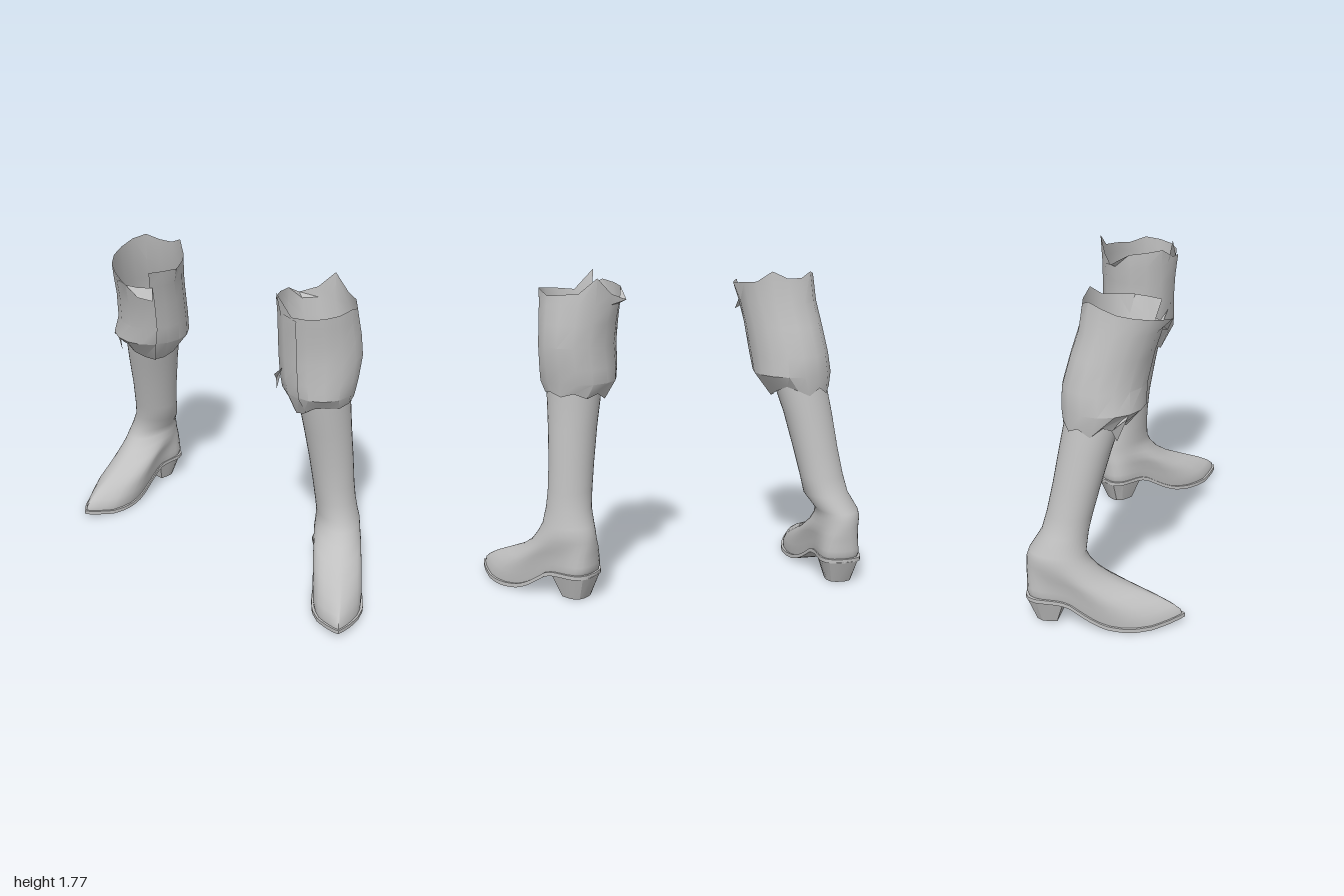
import * as THREE from 'three';
import { toCreasedNormals } from 'three/addons/utils/BufferGeometryUtils.js';

const RAD = Math.PI / 180;
const mix = (a, b, t) => a + (b - a) * t;
const leather = new THREE.MeshStandardMaterial({ color: 0xc0c0c0, side: THREE.DoubleSide });
leather.name = 'grey leather';

// Linear lookup of column c in a table sorted by column 0
function look(table, v, c = 1) {
  let i = 1;
  while (i < table.length - 1 && table[i][0] < v) i++;
  const a = table[i - 1], b = table[i];
  return mix(a[c], b[c], THREE.MathUtils.clamp((v - a[0]) / (b[0] - a[0]), 0, 1));
}

// Skin over cross-sections; closed rings are joined end to start
function loft(name, rings, { closed = true, caps = false, crease = 0.9 } = {}) {
  const n = rings[0].length, pos = rings.flat(2), idx = [];
  for (let i = 0; i < rings.length - 1; i++)
    for (let j = 0; j < (closed ? n : n - 1); j++) {
      const k = (j + 1) % n, a = i * n, b = a + n;
      idx.push(a + j, a + k, b + k, a + j, b + k, b + j);
    }
  if (caps) {
    const t = (rings.length - 1) * n;
    for (let j = 1; j < n - 1; j++) idx.push(0, j + 1, j, t, t + j, t + j + 1);
  }
  const g = new THREE.BufferGeometry();
  g.setAttribute('position', new THREE.Float32BufferAttribute(pos, 3));
  g.setIndex(idx);
  const mesh = new THREE.Mesh(toCreasedNormals(g, crease), leather);
  mesh.name = name;
  return mesh;
}

// Sole outline: z, inner x, outer x
const outline = [
  [0.145, 0.67, 0.67], [0.152, 0.61, 0.73], [0.175, 0.57, 0.77], [0.22, 0.55, 0.79], [0.35, 0.553, 0.79],
  [0.5, 0.53, 0.787], [0.65, 0.495, 0.785], [0.76, 0.485, 0.772], [0.85, 0.503, 0.728],
  [0.93, 0.543, 0.67], [0.98, 0.575, 0.622], [1.0, 0.597, 0.597]];
// Underside of the sole: z, y
const arch = [[0.14, 0.13], [0.36, 0.13], [0.41, 0.115], [0.48, 0.07], [0.55, 0.03], [0.61, 0.01],
  [0.7, 0], [0.85, 0.004], [1.0, 0.03]];
// Foot levels: height above sole, back z, front z, inner x, outer x, roundness
const footLevels = [
  [0, 0.158, 0.985, 0.497, 0.778, 0], [0.03, 0.15, 0.978, 0.493, 0.782, 0], [0.07, 0.15, 0.94, 0.495, 0.785, 0.1],
  [0.12, 0.15, 0.87, 0.502, 0.79, 0.25], [0.17, 0.15, 0.765, 0.51, 0.795, 0.45], [0.22, 0.148, 0.645, 0.525, 0.8, 0.7],
  [0.27, 0.15, 0.56, 0.543, 0.8, 0.9], [0.33, 0.152, 0.505, 0.553, 0.8, 1], [0.39, 0.165, 0.475, 0.553, 0.79, 1]];

function footPoint([h, zb, zf, x0, x1, round], a) {
  const u = (1 + Math.cos(a)) / 2, s = Math.sin(a);
  const edge = look(outline, mix(0.145, 1, u), s > 0 ? 2 : 1);
  const z = mix(zb, zf, u), floor = look(arch, z) + 0.02;
  const side = mix((edge - 0.485) / 0.305, 0.5 + 0.5 * s, round);
  return [mix(x0, x1, side), floor + h * (1 - floor / 0.45), z];
}

const ellipsePoint = ([y, x0, x1, z0, z1], a, r = 1) => [
  (x0 + x1) / 2 + (x1 - x0) / 2 * r * Math.sin(a), y,
  (z0 + z1) / 2 + (z1 - z0) / 2 * r * Math.cos(a)];

const D_SHAPE = [[-0.9, 1], [0.9, 1], [1, 0.3], [1, -0.3], [0.75, -0.8], [0.35, -1], [-0.35, -1], [-0.75, -0.8], [-1, -0.3], [-1, 0.3]];

function makeBoot(name, { mirrored, yaw, heel, shaft, cuff, flap }) {
  const boot = new THREE.Group();
  boot.name = name;
  const c = Math.cos(yaw), s = Math.sin(yaw);
  // Turns the foot about its heel and sets it in place
  const place = ([x, y, z]) => {
    const lx = (x - 0.675) * (mirrored ? -1 : 1), lz = z - 0.15;
    return [heel[0] + lx * c + lz * s, y, heel[1] - lx * s + lz * c];
  };
  const placeRing = ring => { const r = ring.map(place); return mirrored ? r.reverse() : r; };

  // Foot and shaft in one skin
  const N = 36, angles = Array.from({ length: N }, (_, i) => i / N * 2 * Math.PI);
  boot.add(loft('footAndShaft', [
    ...footLevels.map(l => angles.map(a => place(footPoint(l, mirrored ? -a : a)))),
    ...shaft.map(l => angles.map(a => ellipsePoint(l, a + yaw)))], { crease: 1.2 }));

  // Sole with raised arch
  const soleRings = [];
  for (let i = 0; i <= 32; i++) {
    const z = mix(0.145, 1, (1 - Math.cos(i / 32 * Math.PI)) / 2);
    const x0 = look(outline, z, 1), x1 = look(outline, z, 2), y = look(arch, z);
    soleRings.push(placeRing([[x0, y, z], [x1, y, z], [x1, y + 0.022, z], [x0, y + 0.022, z]]));
  }
  boot.add(loft('sole', soleRings, { caps: true, crease: 0.6 }));

  // Stacked heel, narrower at the ground
  const heelRings = [[0, 0.6, 0.745, 0.2, 0.325], [0.135, 0.56, 0.785, 0.145, 0.37]].map(([y, x0, x1, z0, z1]) =>
    placeRing(D_SHAPE.map(([px, pz]) => [mix(x0, x1, (px + 1) / 2), y, mix(z0, z1, (pz + 1) / 2)])));
  boot.add(loft('heel', heelRings, { caps: true, crease: 0.5 }));

  // Loose torn cuff, its ends overlapping
  const { start, span, levels, hem, rim, flare } = cuff, last = levels.length - 1;
  boot.add(loft('cuff', levels.map((l, i) => rim.map((top, k) => {
    const t = k / (rim.length - 1);
    const r = mix(0.97, 1.01, t) * (i === last ? flare[k] || 1 : 1);
    const p = ellipsePoint(l, (start + span * t) * RAD, r);
    if (i === 0) p[1] += hem[k % hem.length];
    if (i === last) p[1] = top;
    return p;
  })), { closed: false, crease: 0.5 }));

  // Folded scrap at the side of the cuff
  boot.add(loft('cuffFlap', [flap.slice(0, 2), flap.slice(2, 4)], { closed: false }));
  return boot;
}

export function createModel() {
  const model = new THREE.Group();
  model.name = 'pairOfBoots';
  model.add(makeBoot('leftBoot', {
    mirrored: false, yaw: 0, heel: [0.675, 0.15],
    shaft: [[0.5, 0.54, 0.772, 0.195, 0.456], [0.6, 0.525, 0.76, 0.2, 0.45], [0.75, 0.5, 0.748, 0.2, 0.452],
      [0.95, 0.46, 0.728, 0.198, 0.47], [1.1, 0.428, 0.715, 0.19, 0.488], [1.17, 0.42, 0.712, 0.188, 0.495]],
    cuff: {
      start: -75, span: 395,
      levels: [[1.12, 0.395, 0.73, 0.165, 0.505], [1.2, 0.337, 0.74, 0.115, 0.552], [1.28, 0.322, 0.755, 0.115, 0.548],
        [1.4, 0.312, 0.77, 0.125, 0.54], [1.52, 0.306, 0.757, 0.115, 0.545], [1.62, 0.302, 0.737, 0.1, 0.558],
        [1.68, 0.305, 0.727, 0.095, 0.565]],
      hem: [-0.05, -0.04, 0.01, 0.02, 0.01, 0.02, 0.03, 0.01, 0.03, 0, 0.02, -0.02, 0.02, -0.03, -0.02, -0.05, -0.02],
      rim: [1.77, 1.66, 1.67, 1.68, 1.69, 1.7, 1.67, 1.68, 1.69, 1.77, 1.68, 1.64, 1.7, 1.71, 1.72, 1.66, 1.65],
      flare: { 0: 1.18, 9: 1.04, 11: 1.16, 14: 1.06 },
    },
    flap: [[0.325, 1.34, 0.4], [0.29, 1.27, 0.33], [0.31, 1.17, 0.3], [0.31, 1.21, 0.26]],
  }));
  model.add(makeBoot('rightBoot', {
    mirrored: true, yaw: -47 * RAD, heel: [-0.237, -0.945],
    shaft: [[0.5, -0.472, -0.21, -0.89, -0.64], [0.6, -0.474, -0.213, -0.855, -0.612], [0.75, -0.483, -0.212, -0.815, -0.565],
      [0.95, -0.503, -0.204, -0.768, -0.5], [1.1, -0.515, -0.195, -0.73, -0.44], [1.16, -0.518, -0.193, -0.715, -0.42]],
    cuff: {
      start: 0, span: 365,
      levels: [[1.07, -0.525, -0.185, -0.745, -0.41], [1.18, -0.583, -0.132, -0.748, -0.295], [1.29, -0.556, -0.138, -0.738, -0.27],
        [1.45, -0.56, -0.153, -0.69, -0.23], [1.58, -0.574, -0.163, -0.645, -0.185], [1.67, -0.58, -0.163, -0.62, -0.155]],
      hem: [-0.04, -0.03, -0.01, 0.02, 0.05, 0.03, 0, 0.04, 0, 0.03, -0.01, 0.04, 0.01, 0.03, 0, -0.02, -0.04],
      rim: [1.68, 1.68, 1.68, 1.69, 1.7, 1.76, 1.72, 1.72, 1.75, 1.73, 1.7, 1.68, 1.66, 1.64, 1.62, 1.53, 1.51],
      flare: { 0: 1.04, 2: 1.08, 14: 1.1 },
    },
    flap: [[-0.57, 1.2, -0.49], [-0.585, 1.16, -0.53], [-0.54, 1.03, -0.56], [-0.55, 1.1, -0.6]],
  }));
  return model;
}
